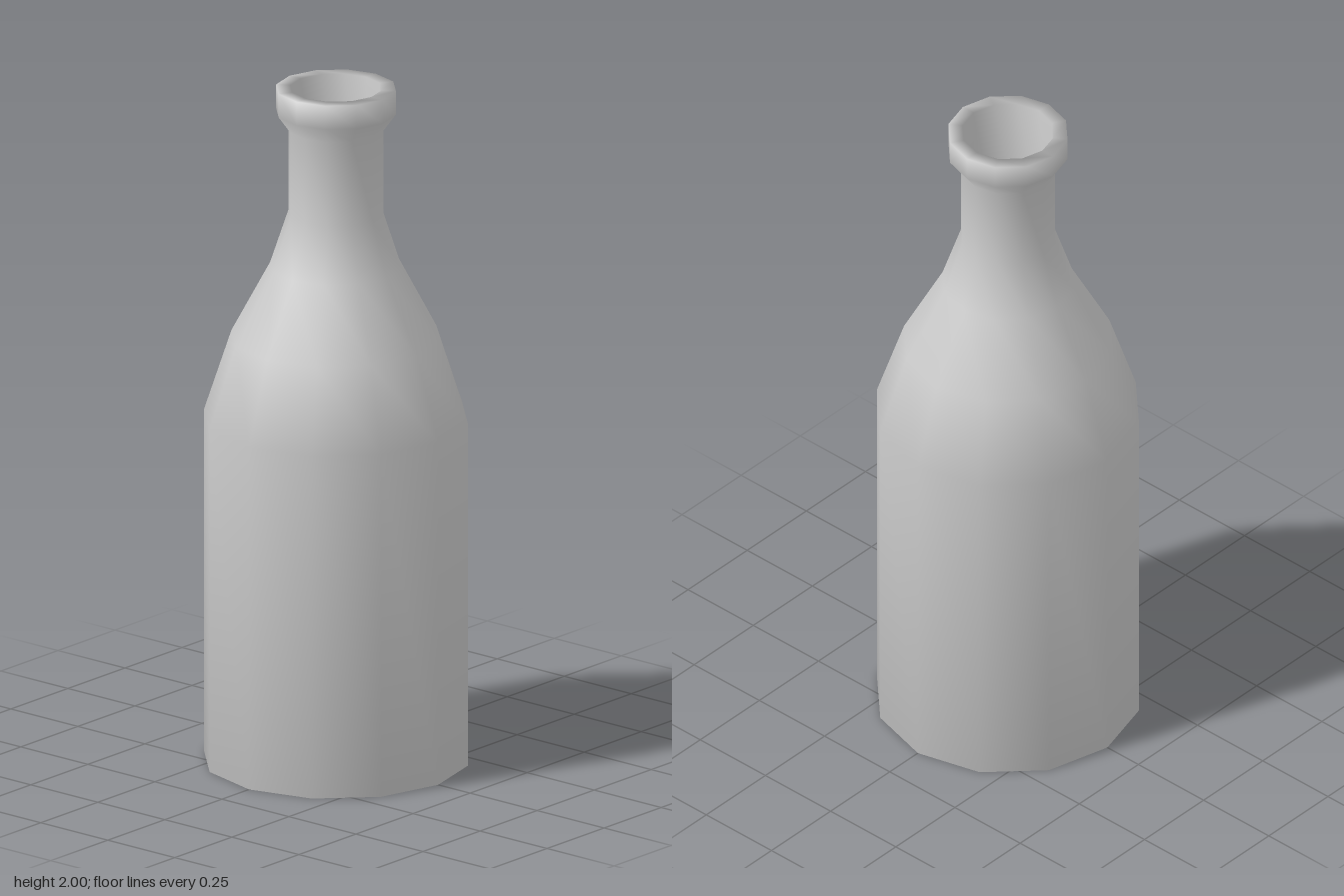
import * as THREE from 'three';
import { mergeVertices } from 'three/addons/utils/BufferGeometryUtils.js';

export function createModel() {
  const group = new THREE.Group();
  group.name = 'bottle';
  const material = new THREE.MeshStandardMaterial({ color: 0xcccccc, side: THREE.DoubleSide });

  // Profile as [radius, height]
  const profile = [
    [0, 0], [0.381, 0], // flat base
    [0.381, 1.02], [0.302, 1.26], [0.19, 1.47], // body and shoulder
    [0.137, 1.63], [0.137, 1.88], // neck
    [0.173, 1.93], [0.173, 2], // lip
    [0.132, 2], [0.13, 1.63], // mouth and lining of the neck
  ].map(([r, y]) => new THREE.Vector2(r, y));

  // Twelve-sided shell, welded so that the shading runs smoothly over every edge
  const shell = new THREE.LatheGeometry(profile, 12);
  shell.deleteAttribute('uv');
  shell.deleteAttribute('normal');
  const welded = mergeVertices(shell);
  welded.computeVertexNormals();

  const body = new THREE.Mesh(welded, material);
  body.name = 'bottleBody';
  group.add(body);
  return group;
}
